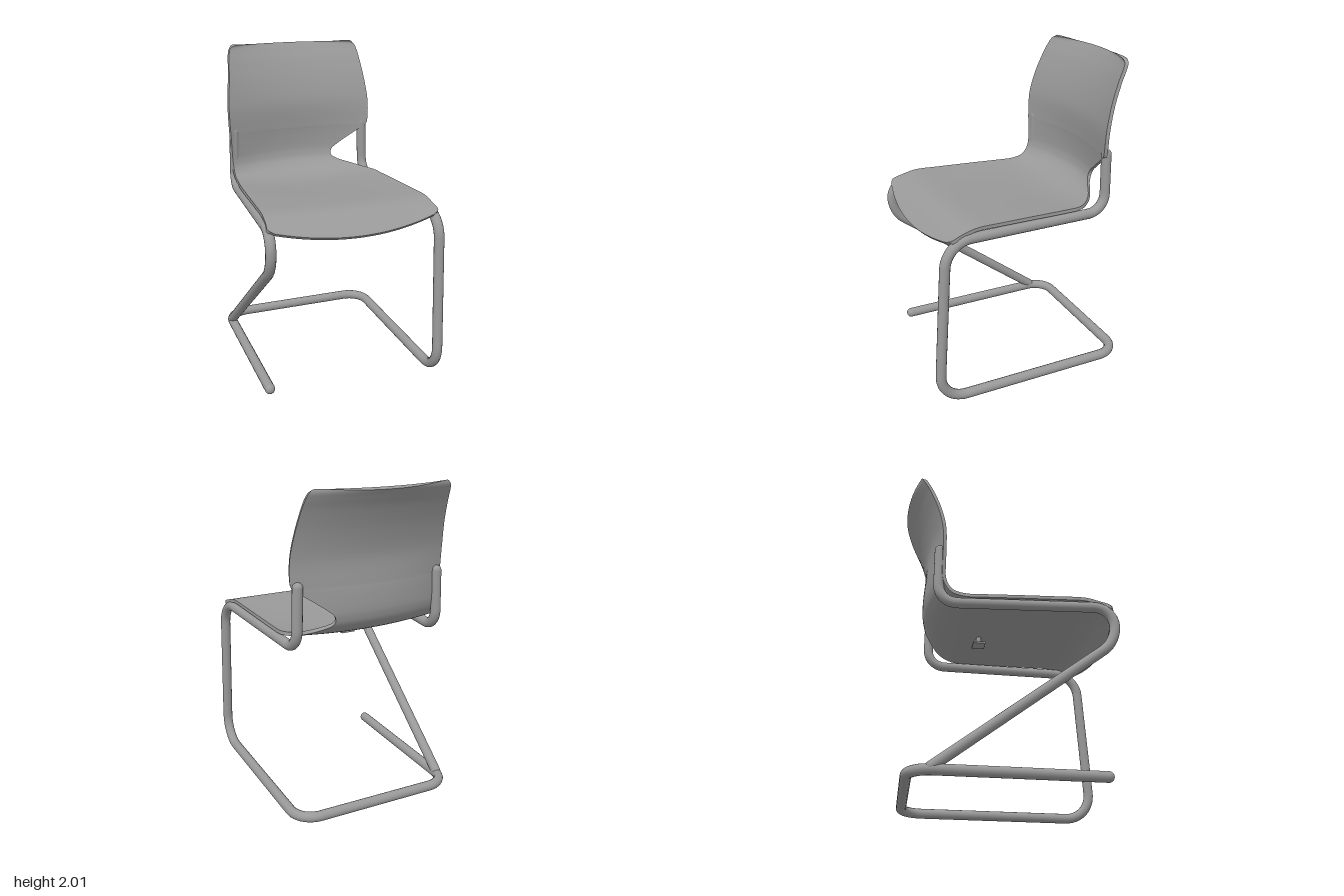
import * as THREE from 'three';
import { mergeGeometries } from 'three/addons/utils/BufferGeometryUtils.js';

const V = (x, y, z) => new THREE.Vector3(x, y, z);
const R = 0.032;

// Polyline with rounded corners; each point is [x, y, z, trim]
function bentPath(points) {
  const path = new THREE.CurvePath();
  const P = points.map(p => V(p[0], p[1], p[2]));
  let from = P[0];
  for (let i = 1; i < P.length - 1; i++) {
    const c = P[i], trim = points[i][3];
    const a = c.clone().add(P[i - 1].clone().sub(c).setLength(trim));
    const b = c.clone().add(P[i + 1].clone().sub(c).setLength(trim));
    path.add(new THREE.LineCurve3(from, a));
    path.add(new THREE.CubicBezierCurve3(a, a.clone().lerp(c, 0.56), b.clone().lerp(c, 0.56), b));
    from = b;
  }
  path.add(new THREE.LineCurve3(from, P[P.length - 1]));
  return path;
}

// Bent steel tube with rounded ends
function tube(name, points, material) {
  const geos = [new THREE.TubeGeometry(bentPath(points), 260, R, 16)];
  for (const p of [points[0], points[points.length - 1]])
    geos.push(new THREE.SphereGeometry(R, 16, 10).translate(p[0], p[1], p[2]));
  const mesh = new THREE.Mesh(mergeGeometries(geos), material);
  mesh.name = name;
  return mesh;
}

// Shell stations from front lip to top edge:
// [centre y, centre z, edge y, edge z, right half width, left half width]
const STATIONS = [
  [1.03, 0.66, 1.085, 0.60, 0.505, 0.505],
  [1.055, 0.63, 1.105, 0.575, 0.54, 0.54],
  [1.12, 0.54, 1.128, 0.51, 0.535, 0.535],
  [1.147, 0.43, 1.15, 0.41, 0.53, 0.53],
  [1.14, 0.25, 1.148, 0.25, 0.522, 0.522],
  [1.12, 0.0, 1.142, 0.0, 0.51, 0.51],
  [1.107, -0.20, 1.137, -0.18, 0.50, 0.50],
  [1.115, -0.34, 1.137, -0.30, 0.49, 0.485],
  [1.15, -0.44, 1.155, -0.38, 0.488, 0.40],
  [1.20, -0.50, 1.20, -0.42, 0.488, 0.26],
  [1.25, -0.52, 1.25, -0.435, 0.49, 0.245],
  [1.30, -0.525, 1.30, -0.437, 0.492, 0.30],
  [1.37, -0.523, 1.37, -0.437, 0.494, 0.40],
  [1.41, -0.52, 1.41, -0.437, 0.495, 0.455],
  [1.45, -0.517, 1.45, -0.437, 0.497, 0.495],
  [1.60, -0.515, 1.60, -0.445, 0.50, 0.50],
  [1.75, -0.55, 1.75, -0.48, 0.485, 0.485],
  [1.88, -0.60, 1.88, -0.53, 0.468, 0.468],
  [1.955, -0.64, 1.95, -0.565, 0.457, 0.457],
  [1.988, -0.66, 1.983, -0.583, 0.443, 0.443],
  [2.0, -0.668, 2.0, -0.592, 0.41, 0.41],
];

function shellGeometry(thickness) {
  const N = 120, M = 32, W = M + 1;
  const spline = f => new THREE.CatmullRomCurve3(STATIONS.map(f), false, 'catmullrom', 0.5);
  const centre = spline(s => V(s[4], s[0], s[1]));
  const edge = spline(s => V(s[5], s[2], s[3]));

  const pos = [], idx = [];
  for (let i = 0; i <= N; i++) {
    const c = centre.getPoint(i / N), e = edge.getPoint(i / N);
    for (let j = 0; j <= M; j++) {
      const x = THREE.MathUtils.lerp(-c.x, e.x, j / M), t = (x / c.x) ** 2;
      pos.push(x, Math.min(2, c.y + (e.y - c.y) * t), c.z + (e.z - c.z) * t);
      if (i < N && j < M) {
        const a = i * W + j;
        idx.push(a, a + 1, a + W, a + 1, a + W + 1, a + W);
      }
    }
  }
  const build = (p, ind) => {
    const g = new THREE.BufferGeometry();
    g.setAttribute('position', new THREE.Float32BufferAttribute(p, 3));
    g.setIndex(ind);
    g.computeVertexNormals();
    return g;
  };
  const front = build(pos, idx);
  const n = front.attributes.normal.array;
  const backPos = pos.map((v, k) => v - n[k] * thickness);
  const flipped = [];
  for (let k = 0; k < idx.length; k += 3) flipped.push(idx[k], idx[k + 2], idx[k + 1]);
  const back = build(backPos, flipped);

  // Rim joining both faces around the outline
  const loop = [];
  for (let j = 0; j < M; j++) loop.push(j);
  for (let i = 0; i < N; i++) loop.push(i * W + M);
  for (let j = M; j > 0; j--) loop.push(N * W + j);
  for (let i = N; i > 0; i--) loop.push(i * W);
  const rimPos = [], rimIdx = [], L = loop.length;
  loop.forEach((v, k) => {
    rimPos.push(...pos.slice(v * 3, v * 3 + 3), ...backPos.slice(v * 3, v * 3 + 3));
    const a = 2 * k, b = 2 * ((k + 1) % L);
    rimIdx.push(a, a + 1, b + 1, a, b + 1, b);
  });
  const parts = [front, back, build(rimPos, rimIdx)];
  return mergeGeometries(parts);
}

export function createModel() {
  const group = new THREE.Group();
  group.name = 'cantileverChair';
  const grey = new THREE.MeshStandardMaterial({ color: 0x999999 });
  grey.name = 'grey';

  // One-piece seat and backrest with a notch on the left side
  const shell = new THREE.Mesh(shellGeometry(0.022), grey);
  shell.name = 'seatShell';
  group.add(shell);

  // Left upright, seat rail, front leg and floor loop
  group.add(tube('mainFrameTube', [
    [0.465, 1.44, -0.475],
    [0.475, 1.07, -0.475, 0.12],
    [0.53, 1.092, 0.612, 0.16],
    [0.53, R, 0.682, 0.18],
    [0.53, R, -0.605, 0.14],
    [-0.53, R, -0.605, 0.14],
    [-0.53, R, 0.5],
  ], grey));

  // Right upright, seat rail and diagonal brace
  group.add(tube('diagonalFrameTube', [
    [-0.465, 1.44, -0.475],
    [-0.475, 1.07, -0.475, 0.12],
    [-0.53, 1.092, 0.595, 0.13],
    [-0.53, 0.86, 0.59, 0.095],
    [-0.53, 0.045, -0.48],
  ], grey));

  // Small fitting under the seat
  const fitting = new THREE.Group();
  fitting.name = 'underSeatFitting';
  const plate = new THREE.Mesh(new THREE.BoxGeometry(0.09, 0.012, 0.08), grey);
  plate.name = 'fittingPlate';
  plate.position.set(0, 1.034, -0.17);
  const stem = new THREE.Mesh(new THREE.CylinderGeometry(0.015, 0.02, 0.06, 12), grey);
  stem.name = 'fittingStem';
  stem.position.set(0, 1.065, -0.17);
  fitting.add(plate, stem);
  group.add(fitting);

  return group;
}
